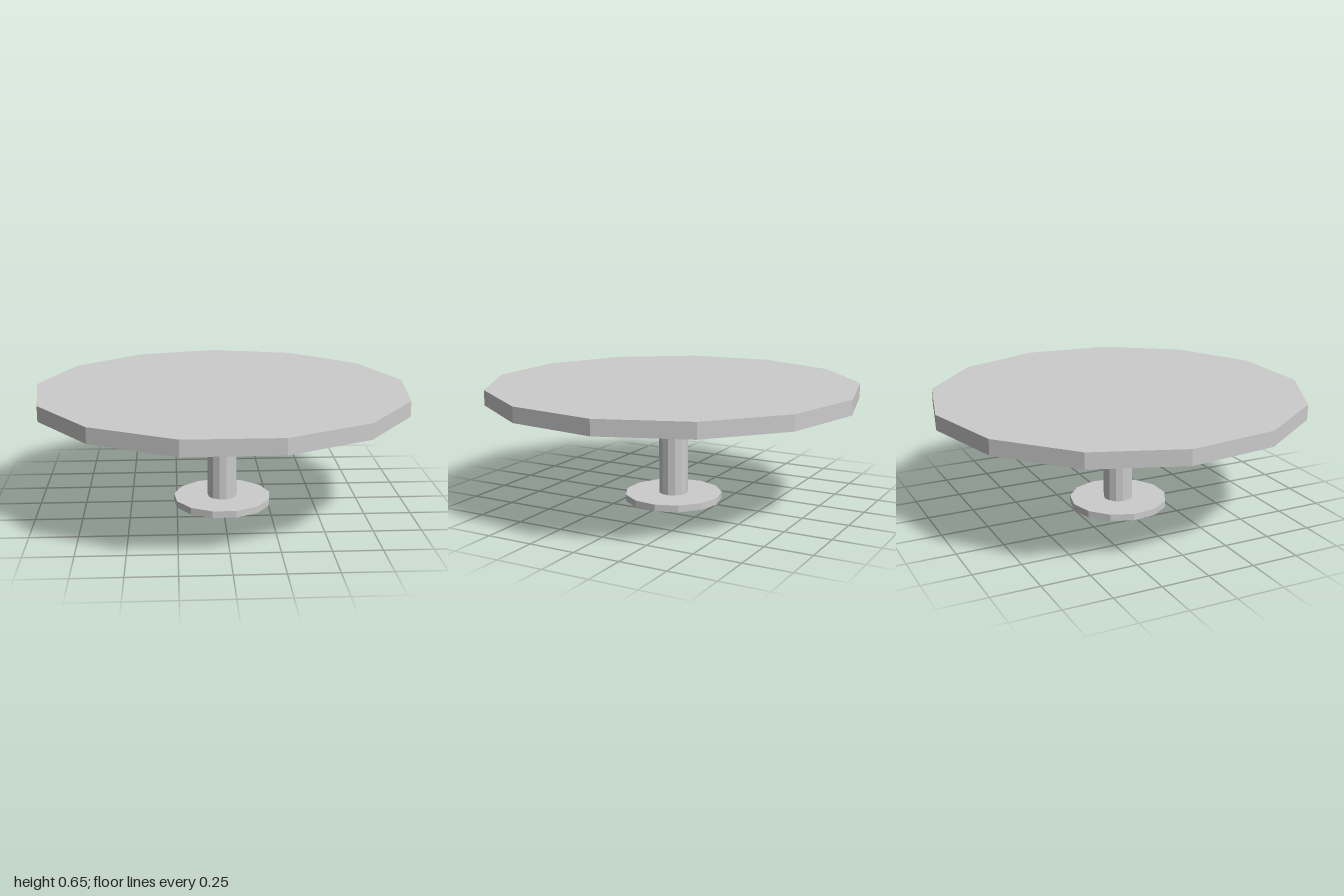
import * as THREE from 'three';

const SIDES = 13;
const CENTRE_Z = 0.0146; // centres the odd-sided outline in depth

export function createModel() {
  const table = new THREE.Group();
  table.name = 'pedestalTable';
  const material = new THREE.MeshStandardMaterial({ color: 0xcccccc, flatShading: true });

  // Upright 13-sided disc or post with one corner pointing to the back
  function addPrism(name, radius, bottom, top) {
    const geometry = new THREE.CylinderGeometry(radius, radius, top - bottom, SIDES, 1);
    geometry.rotateY(Math.PI);
    const mesh = new THREE.Mesh(geometry, material);
    mesh.name = name;
    mesh.position.set(0, (bottom + top) / 2, CENTRE_Z);
    table.add(mesh);
  }

  addPrism('footPlate', 0.268, 0, 0.037);
  addPrism('column', 0.08, 0.037, 0.569);
  addPrism('tableTop', 1.0073, 0.569, 0.65);

  return table;
}
